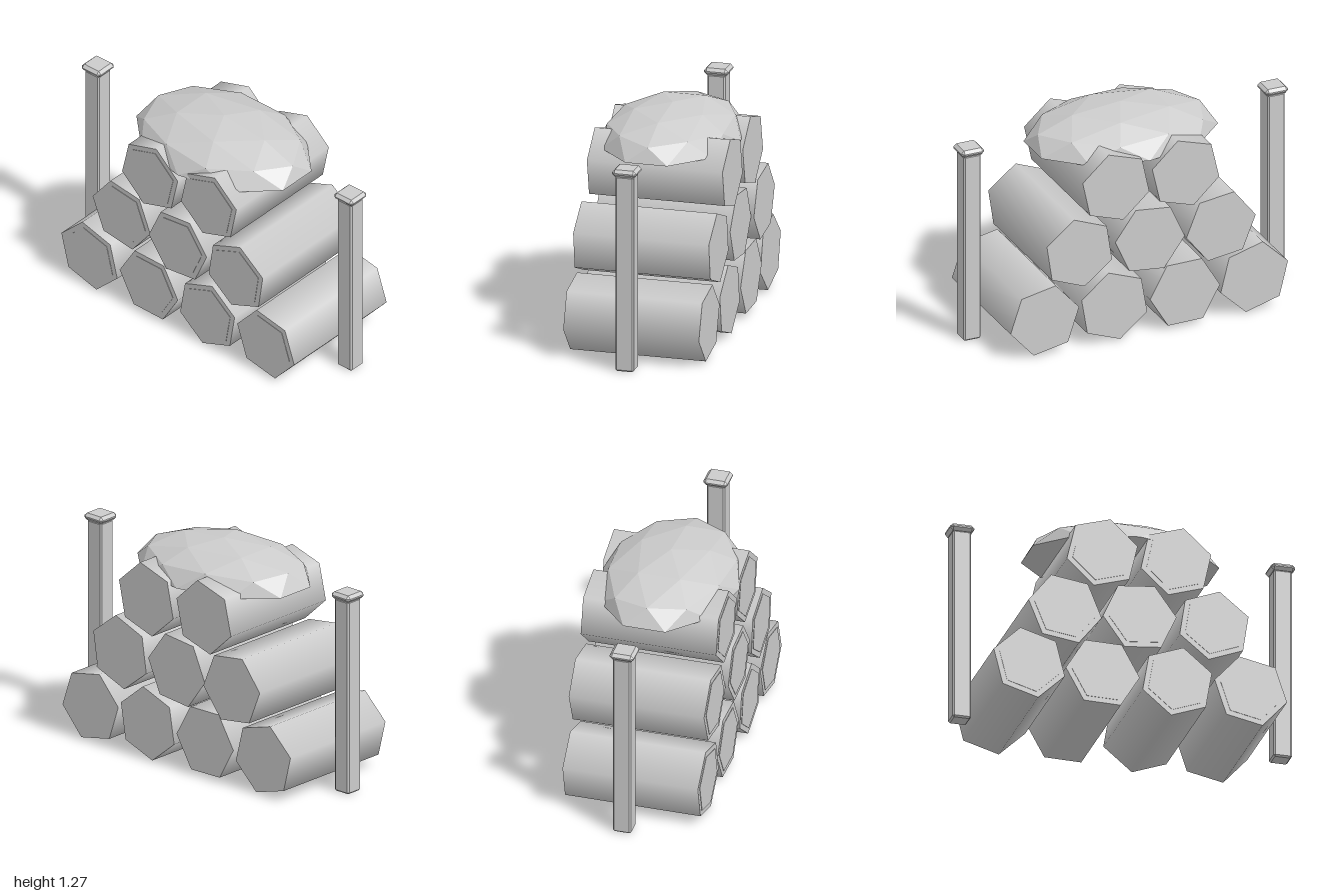
import * as THREE from 'three';
import { ConvexGeometry } from 'three/addons/geometries/ConvexGeometry.js';

const material = new THREE.MeshStandardMaterial({ color: 0xcccccc });
material.name = 'light grey';
const RAD = Math.PI / 180;

function add(parent, name, geometry, x = 0, y = 0, z = 0) {
  const mesh = new THREE.Mesh(geometry, material);
  mesh.name = name;
  mesh.position.set(x, y, z);
  parent.add(mesh);
  return mesh;
}

// Box with every edge chamfered
function chamferedBox(w, h, d, b) {
  const points = [];
  for (const sx of [-1, 1]) for (const sy of [-1, 1]) for (const sz of [-1, 1]) {
    const x = w / 2, y = h / 2, z = d / 2;
    points.push(
      new THREE.Vector3(sx * x, sy * (y - b), sz * (z - b)),
      new THREE.Vector3(sx * (x - b), sy * y, sz * (z - b)),
      new THREE.Vector3(sx * (x - b), sy * (y - b), sz * z));
  }
  return new ConvexGeometry(points);
}

// Six-sided prism lying along z
function hexPrism(radius, length) {
  return new THREE.CylinderGeometry(radius, radius, length, 6).toNonIndexed()
    .rotateX(Math.PI / 2).rotateZ(-30 * RAD);
}

// Upper half of a once-subdivided icosahedron, stretched, with a flat base
function moundGeometry(rx, ry, rz) {
  const points = [new THREE.Vector3(0, ry, 0)];
  const ring = (radius, height, count, start) => {
    for (let i = 0; i < count; i++) {
      const a = (start + i * 360 / count) * RAD;
      points.push(new THREE.Vector3(Math.cos(a) * radius * rx, height * ry, Math.sin(a) * radius * rz));
    }
  };
  ring(0.526, 0.851, 5, 0);
  ring(0.894, 0.447, 5, 0);
  ring(0.851, 0.526, 5, 36);
  ring(1, 0, 10, 18);
  return new ConvexGeometry(points);
}

export function createModel() {
  const model = new THREE.Group();
  model.name = 'woodpile';

  // Stacked logs: x, y, z of centre, roll in degrees
  const logs = [
    [-0.643, 0.222, 0.01, 44], [-0.214, 0.22, 0, 59], [0.218, 0.222, 0, 20.5], [0.645, 0.22, -0.003, 48.5],
    [-0.428, 0.591, -0.015, 52], [0, 0.592, 0, 6], [0.43, 0.591, 0.004, 21.5],
    [-0.214, 0.963, -0.01, 17], [0.215, 0.964, -0.015, 18],
  ];
  const logGeometry = hexPrism(0.214, 0.785);
  const cutGeometry = hexPrism(0.18, 0.004);
  for (const [x, y, z, roll] of logs) {
    const log = add(model, 'log', logGeometry, x, y, z);
    log.rotation.z = roll * RAD;
    // Cut face on the front end
    add(log, 'cutFace', cutGeometry, 0, 0, 0.393);
  }

  // Mound lying over the top row
  add(model, 'topMound', moundGeometry(0.567, 0.195, 0.395), 0, 1.08, 0);

  // Square end posts with caps
  for (const side of [-1, 1]) {
    const post = new THREE.Group();
    post.name = side > 0 ? 'leftPost' : 'rightPost';
    post.position.x = side * 0.93;
    add(post, 'postShaft', chamferedBox(0.106, 1.145, 0.106, 0.009), 0, 0.5775, 0);
    add(post, 'postCap', chamferedBox(0.14, 0.042, 0.14, 0.017), 0, 1.167, 0);
    model.add(post);
  }
  return model;
}
